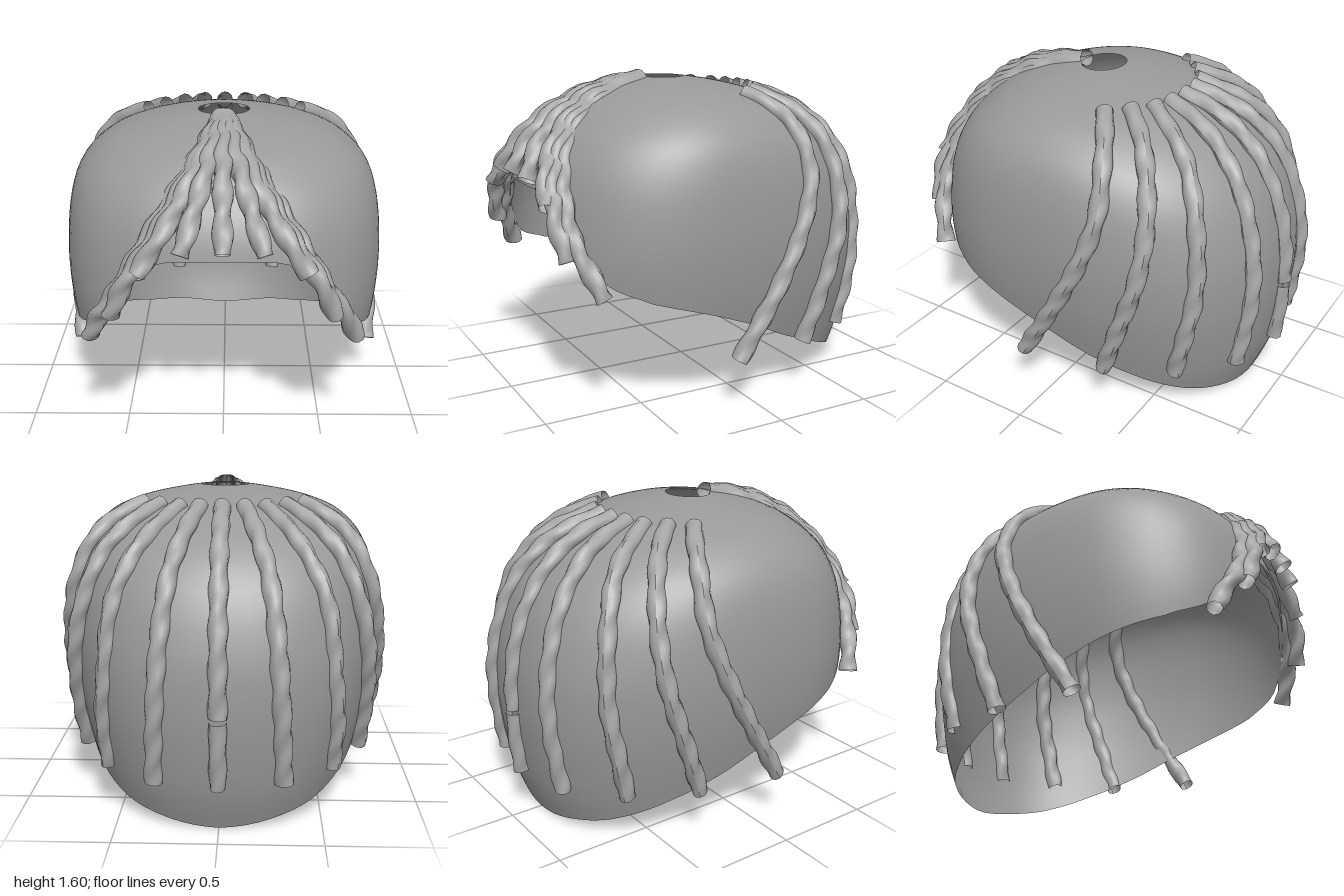
import * as THREE from 'three';

const capMaterial = new THREE.MeshStandardMaterial({ color: 0x999999, side: THREE.DoubleSide });
const braidMaterial = new THREE.MeshStandardMaterial({ color: 0xa6a6a6, side: THREE.DoubleSide });
const CENTRE_Z = 0.12;

// Cap profile: height, then radius towards side, front and back
const PROFILE = [
  [1.565, 0.13, 0.11, 0.11], [1.55, 0.23, 0.19, 0.22], [1.52, 0.38, 0.31, 0.37],
  [1.48, 0.51, 0.42, 0.51], [1.42, 0.625, 0.53, 0.65], [1.3, 0.735, 0.66, 0.83],
  [1.12, 0.79, 0.75, 0.97], [0.87, 0.81, 0.79, 1.05], [0.65, 0.8, 0.795, 1.07],
  [0.45, 0.77, 0.75, 1.06], [0.2, 0.71, 0.67, 1.02], [0, 0.65, 0.6, 0.95],
];
// Hem height by angle from the front, in degrees
const HEM = [[0, 1.05], [22, 1.03], [34, 0.87], [45, 0.67], [60, 0.58], [90, 0.45],
  [120, 0.27], [145, 0.13], [163, 0.06], [180, 0]];

// Smooth lookup in a table of rows at a fractional row number
function sampleRow(table, f, column) {
  const last = table.length - 1;
  const i = Math.min(Math.floor(f), last - 1), t = f - i;
  const p = (k) => table[THREE.MathUtils.clamp(k, 0, last)][column];
  const m0 = (p(i + 1) - p(i - 1)) / 2, m1 = (p(i + 2) - p(i)) / 2;
  const t2 = t * t, t3 = t2 * t;
  return p(i) * (2 * t3 - 3 * t2 + 1) + m0 * (t3 - 2 * t2 + t) + p(i + 1) * (3 * t2 - 2 * t3) + m1 * (t3 - t2);
}

// Fractional row where the first column reaches a value
function findRow(table, value) {
  const up = table[1][0] > table[0][0];
  for (let i = 0; i < table.length - 1; i++) {
    const a = table[i][0], b = table[i + 1][0];
    if (up ? value <= b : value >= b) return i + (value - a) / (b - a);
  }
  return table.length - 1;
}

// Open cap: rounded cross-sections from the crown hole down to the slanted hem
function makeCap() {
  const around = 96, down = 32, positions = [], index = [];
  for (let i = 0; i < around; i++) {
    const angle = (i / around) * Math.PI * 2;
    const s = Math.sin(angle), c = Math.cos(angle);
    const degrees = Math.min(i, around - i) * 360 / around;
    const hem = sampleRow(HEM, findRow(HEM, degrees), 1);
    const hemRow = findRow(PROFILE, hem);
    for (let j = 0; j <= down; j++) {
      const row = hemRow * j / down;
      const y = Math.max(0, sampleRow(PROFILE, row, 0));
      const rx = sampleRow(PROFILE, row, 1);
      const rz = sampleRow(PROFILE, row, c > 0 ? 2 : 3);
      const n = 2 + 0.36 * THREE.MathUtils.smoothstep(row, 3, 7.5);
      const r = Math.pow(Math.pow(Math.abs(s) / rx, n) + Math.pow(Math.abs(c) / rz, n), -1 / n);
      positions.push(s * r, y, CENTRE_Z + c * r);
      if (j < down) {
        const a = i * (down + 1) + j, b = ((i + 1) % around) * (down + 1) + j;
        index.push(a, a + 1, b, b, a + 1, b + 1);
      }
    }
  }
  const geometry = new THREE.BufferGeometry();
  geometry.setAttribute('position', new THREE.Float32BufferAttribute(positions, 3));
  geometry.setIndex(index);
  geometry.computeVertexNormals();
  return geometry;
}

// Twisted rope: a tube whose two-lobed section turns along its length
function makeStrand(points, radius, lump) {
  const curve = new THREE.CatmullRomCurve3(points.map((p) => new THREE.Vector3(...p)));
  const length = curve.getLength();
  const steps = Math.ceil(length * 60), sides = 12;
  const geometry = new THREE.TubeGeometry(curve, steps, radius, sides, false);
  const position = geometry.attributes.position;
  const v = new THREE.Vector3(), centre = new THREE.Vector3();
  for (let i = 0; i <= steps; i++) {
    curve.getPointAt(i / steps, centre);
    const along = i / steps * length;
    const strength = lump * Math.min(1, 0.3 + along * 2);
    for (let j = 0; j <= sides; j++) {
      const k = i * (sides + 1) + j;
      const twist = 2 * j / sides * Math.PI * 2 + along * 34;
      v.fromBufferAttribute(position, k).sub(centre);
      v.multiplyScalar(1 + strength * Math.sin(twist)).add(centre);
      position.setXYZ(k, v.x, v.y, v.z);
    }
  }
  geometry.computeVertexNormals();
  return geometry;
}

// Front fan, from the middle outwards (left half)
const FRONT = [
  [[0, 1.56, 0.24], [0, 1.51, 0.5], [0, 1.4, 0.73], [0, 1.26, 0.87], [0, 1.12, 0.95]],
  [[0.005, 1.56, 0.24], [0.04, 1.505, 0.5], [0.09, 1.39, 0.73], [0.14, 1.25, 0.87], [0.19, 1.11, 0.94]],
  [[0.01, 1.56, 0.24], [0.07, 1.49, 0.5], [0.16, 1.36, 0.73], [0.27, 1.19, 0.865], [0.39, 1.01, 0.92]],
  [[0.015, 1.56, 0.24], [0.08, 1.49, 0.49], [0.19, 1.34, 0.72], [0.32, 1.14, 0.85], [0.45, 0.95, 0.895], [0.52, 0.78, 0.87]],
  [[0.015, 1.56, 0.24], [0.09, 1.48, 0.47], [0.21, 1.33, 0.69], [0.36, 1.11, 0.82], [0.51, 0.86, 0.835], [0.59, 0.73, 0.79], [0.64, 0.61, 0.745]],
];
// Hanging strands, from the back middle round to the side (left half)
const BACK = [
  [[0, 1.495, -0.34], [0, 1.43, -0.55], [0, 1.29, -0.74], [0, 1.03, -0.89], [0, 0.8, -0.945], [0, 0.6, -0.955]],
  [[0.11, 1.495, -0.33], [0.17, 1.4, -0.58], [0.23, 1.23, -0.76], [0.265, 1.0, -0.865], [0.29, 0.7, -0.915], [0.31, 0.25, -0.865]],
  [[0.21, 1.495, -0.3], [0.38, 1.34, -0.57], [0.5, 1.1, -0.7], [0.545, 0.75, -0.735], [0.565, 0.5, -0.7], [0.55, 0.25, -0.64]],
  [[0.31, 1.495, -0.23], [0.43, 1.43, -0.36], [0.56, 1.31, -0.47], [0.66, 1.1, -0.53], [0.72, 0.85, -0.52], [0.73, 0.5, -0.41], [0.71, 0.25, -0.32]],
  [[0.4, 1.495, -0.14], [0.52, 1.44, -0.22], [0.64, 1.34, -0.285], [0.74, 1.13, -0.315], [0.79, 0.9, -0.25], [0.81, 0.6, -0.1], [0.79, 0.25, 0.11]],
];

export function createModel() {
  const model = new THREE.Group();
  const add = (parent, name, geometry, material) => {
    const mesh = new THREE.Mesh(geometry, material);
    mesh.name = name;
    parent.add(mesh);
  };
  add(model, 'hairCap', makeCap(), capMaterial);

  const addSet = (name, paths, radius, lump) => {
    const group = new THREE.Group();
    group.name = name + 's';
    paths.forEach((path, i) => {
      if (i === 0) return add(group, name + 'Middle', makeStrand(path, radius, lump), braidMaterial);
      for (const side of [1, -1]) {
        const points = path.map(([x, y, z]) => [x * side, y, z]);
        add(group, name + (side > 0 ? 'Left' : 'Right') + i, makeStrand(points, radius, lump), braidMaterial);
      }
    });
    model.add(group);
    return group;
  };
  addSet('frontBraid', FRONT, 0.043, 0.17);
  const back = addSet('backBraid', BACK, 0.043, 0.11);

  // Separate lower piece of the middle back braid
  const tip = [[0, 0.58, -0.955], [0, 0.42, -0.95], [0, 0.25, -0.93]];
  add(back, 'backBraidMiddleTip', makeStrand(tip, 0.041, 0.11), braidMaterial);
  return model;
}
